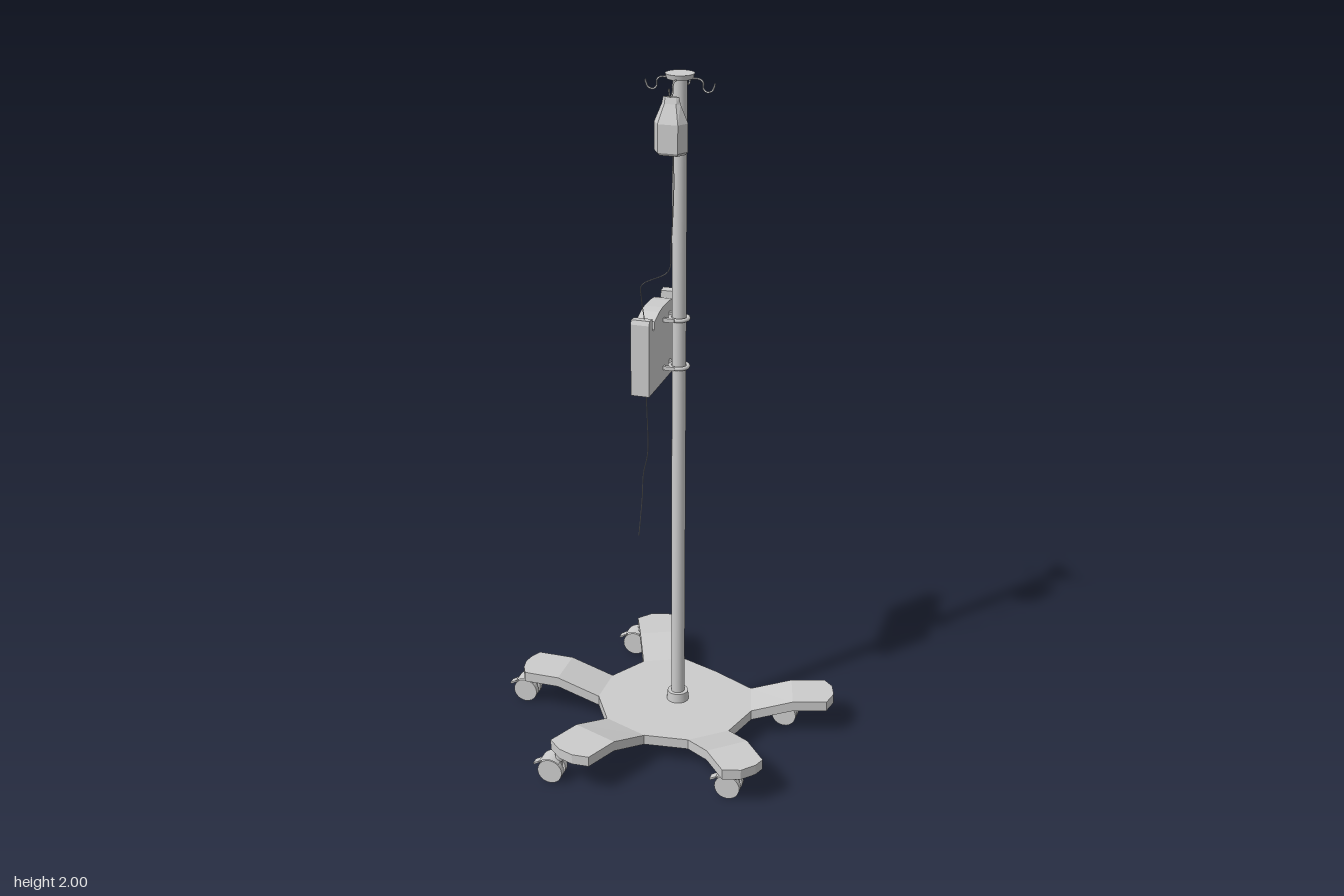
import * as THREE from 'three';

const grey = new THREE.MeshStandardMaterial({ color: 0xcccccc, side: THREE.DoubleSide });
const flat = new THREE.MeshStandardMaterial({ color: 0xcccccc, side: THREE.DoubleSide, flatShading: true });

function add(parent, name, geometry, x = 0, y = 0, z = 0, material = grey) {
  const mesh = new THREE.Mesh(geometry, material);
  mesh.name = name;
  mesh.position.set(x, y, z);
  parent.add(mesh);
  return mesh;
}

// Slab from plan points [x, z, topHeight], with its underside parallel to its top
function slab(points, thickness) {
  let p = points;
  const plan = (list) => list.map(([x, z]) => new THREE.Vector2(x, -z));
  if (THREE.ShapeUtils.isClockWise(plan(p))) p = [...p].reverse();
  const pos = [];
  const push = (i, drop) => pos.push(p[i][0], p[i][2] - drop, p[i][1]);
  for (const [a, b, c] of THREE.ShapeUtils.triangulateShape(plan(p), [])) {
    push(a, 0); push(b, 0); push(c, 0);
    push(c, thickness); push(b, thickness); push(a, thickness);
  }
  p.forEach((_, i) => {
    const j = (i + 1) % p.length;
    push(i, thickness); push(j, thickness); push(j, 0);
    push(i, thickness); push(j, 0); push(i, 0);
  });
  const g = new THREE.BufferGeometry();
  g.setAttribute('position', new THREE.Float32BufferAttribute(pos, 3));
  g.computeVertexNormals();
  return g;
}

function wire(points, radius, sides = 6) {
  const curve = new THREE.CatmullRomCurve3(points.map((p) => new THREE.Vector3(...p)), false, 'centripetal');
  return new THREE.TubeGeometry(curve, points.length * 6, radius, sides);
}

// Each leg: two root corners, tip outline between them, top height
const legs = [
  { root: [[-0.19, -0.07], [-0.19, 0.06]], top: 0.128, tip: [[-0.43, -0.07], [-0.445, -0.04], [-0.452, -0.005], [-0.445, 0.03], [-0.43, 0.06]] },
  { root: [[-0.125, 0.17], [0.01, 0.225]], top: 0.128, tip: [[-0.22, 0.39], [-0.18, 0.428], [-0.135, 0.445], [-0.085, 0.443]] },
  { root: [[0.14, 0.21], [0.24, 0.125]], top: 0.128, tip: [[0.295, 0.39], [0.345, 0.375], [0.378, 0.338], [0.39, 0.305]] },
  { root: [[0.275, 0], [0.24, -0.125]], top: 0.117, tip: [[0.49, -0.07], [0.5, -0.12], [0.485, -0.165], [0.455, -0.192]] },
  { root: [[-0.005, -0.235], [-0.125, -0.18]], top: 0.117, tip: [[-0.095, -0.445], [-0.13, -0.447], [-0.18, -0.43], [-0.213, -0.39]] },
];
const HUB_TOP = 0.087, THICK = 0.031;

function makeBase() {
  const base = new THREE.Group();
  base.name = 'base';
  const outline = legs.flatMap((l) => l.root);
  outline.splice(8, 0, [0.11, -0.19]);
  add(base, 'hub', slab(outline.map(([x, z]) => [x, z, HUB_TOP]), THICK), 0, 0, 0, flat);
  for (const { root, tip, top } of legs) {
    const ends = [tip[0], tip[tip.length - 1]];
    const fold = root.map((r, i) => [0, 1].map((k) => r[k] + (ends[i][k] - r[k]) * 0.55));
    const at = (y) => ([x, z]) => [x, z, y];
    add(base, 'legSlope', slab([...root.map(at(HUB_TOP)), ...[fold[1], fold[0]].map(at(top))], THICK), 0, 0, 0, flat);
    add(base, 'legEnd', slab([fold[0], ...tip, fold[1]].map(at(top)), THICK), 0, 0, 0, flat);
  }
  // Underside ring with radial ribs
  const ring = new THREE.Shape(), hole = new THREE.Path();
  for (let i = 0; i < 8; i++) {
    const a = (i + 0.5) * Math.PI / 4, c = Math.cos(a), s = Math.sin(a);
    const op = i ? 'lineTo' : 'moveTo';
    ring[op](0.18 * c, 0.18 * s);
    hole[op](0.15 * c, 0.15 * s);
  }
  ring.closePath(); hole.closePath();
  ring.holes.push(hole);
  const ringGeo = new THREE.ExtrudeGeometry(ring, { depth: 0.022, bevelEnabled: false }).rotateX(-Math.PI / 2);
  add(base, 'undersideRing', ringGeo, 0.035, 0.035, 0);
  for (let i = 0; i < 6; i++) {
    const rib = add(base, 'undersideRib', new THREE.BoxGeometry(0.15, 0.016, 0.012).translate(0.08, 0, 0), 0.035, 0.049, 0);
    rib.rotation.y = i * Math.PI / 3 + 0.3;
  }
  return base;
}

function makeCaster(x, z, legBottom) {
  const caster = new THREE.Group();
  caster.name = 'caster';
  caster.position.set(x, 0.038, z);
  for (const s of [-1, 1]) {
    add(caster, 'wheel', new THREE.CylinderGeometry(0.037, 0.037, 0.018, 24).rotateX(Math.PI / 2), 0, 0, s * 0.016);
  }
  add(caster, 'axle', new THREE.CylinderGeometry(0.008, 0.008, 0.04, 10).rotateX(Math.PI / 2));
  add(caster, 'hood', new THREE.CylinderGeometry(0.042, 0.042, 0.056, 16, 1, true, Math.PI - 0.75, 1.85).rotateX(Math.PI / 2));
  add(caster, 'fork', new THREE.BoxGeometry(0.034, 0.036, 0.012), 0.012, 0.022, 0);
  const lever = add(caster, 'brakeLever', new THREE.BoxGeometry(0.024, 0.005, 0.024), -0.044, 0.014, 0);
  lever.rotation.z = 0.5;
  const h = legBottom - 0.038 - 0.03;
  add(caster, 'stem', new THREE.CylinderGeometry(0.012, 0.012, h, 12), 0.022, 0.03 + h / 2, 0);
  return caster;
}

function makePole() {
  const pole = new THREE.Group();
  pole.name = 'pole';
  pole.position.set(0.042, 0, -0.006);
  add(pole, 'tube', new THREE.CylinderGeometry(0.02, 0.02, 1.9, 24), 0, 1.035, 0);
  add(pole, 'baseCollar', new THREE.CylinderGeometry(0.031, 0.033, 0.03, 24), 0, 0.101, 0);
  add(pole, 'topCap', new THREE.CylinderGeometry(0.04, 0.036, 0.014, 24), 0, 1.993, 0);
  for (let i = 0; i < 4; i++) {
    const hook = add(pole, 'hook', wire([[0.02, 1.986, 0], [0.055, 1.986, 0], [0.064, 1.978, 0], [0.065, 1.962, 0],
      [0.074, 1.953, 0], [0.088, 1.956, 0], [0.094, 1.966, 0], [0.097, 1.977, 0]], 0.0025));
    hook.rotation.y = i * Math.PI / 2;
  }
  return pole;
}

// Bag with a six-sided section, lofted through [y, half width, half flat, half depth]
function makeBag() {
  const rows = [[1.8, 0.04, 0.024, 0.025], [1.808, 0.047, 0.028, 0.031], [1.885, 0.047, 0.028, 0.031],
    [1.935, 0.026, 0.016, 0.009], [1.953, 0.022, 0.015, 0.004]];
  const pos = [], idx = [];
  rows.forEach(([y, w, f, d]) => {
    for (const [x, z] of [[w, 0], [f, -d], [-f, -d], [-w, 0], [-f, d], [f, d]]) pos.push(x, y, z);
  });
  for (let r = 0; r < rows.length - 1; r++) {
    for (let i = 0; i < 6; i++) {
      const a = r * 6 + i, b = r * 6 + (i + 1) % 6;
      idx.push(a, b, b + 6, a, b + 6, a + 6);
    }
  }
  const t = (rows.length - 1) * 6;
  for (let i = 1; i < 5; i++) idx.push(0, i + 1, i, t, t + i, t + i + 1);
  const g = new THREE.BufferGeometry();
  g.setAttribute('position', new THREE.Float32BufferAttribute(pos, 3));
  g.setIndex(idx);
  g.computeVertexNormals();
  return g;
}

function makePump() {
  const pump = new THREE.Group();
  pump.name = 'pump';
  // Side profile in (z, y), with two tube slots in the top edge
  const half = [[0.152, 1.13], [0.152, 1.338], [0.146, 1.35], [0.12, 1.348], [0.118, 1.312], [0.103, 1.312],
    [0.101, 1.334], [0.06, 1.348], [0.03, 1.352]];
  const profile = [...half, ...half.map(([z, y]) => [-z, y]).reverse()];
  const shape = new THREE.Shape(profile.map(([z, y]) => new THREE.Vector2(-z, y)));
  add(pump, 'case', new THREE.ExtrudeGeometry(shape, { depth: 0.053, bevelEnabled: false }).rotateY(Math.PI / 2), -0.048, 0, 0);
  // Control face
  add(pump, 'screen', new THREE.BoxGeometry(0.004, 0.105, 0.11), -0.049, 1.265, -0.012);
  for (let r = 0; r < 2; r++) for (let c = 0; c < 3; c++) {
    add(pump, 'button', new THREE.BoxGeometry(0.01, 0.013, 0.018), -0.05, 1.19 - r * 0.026, -0.045 + c * 0.034);
  }
  for (const z of [-0.125, 0.125]) {
    add(pump, 'sideButton', new THREE.BoxGeometry(0.01, 0.025, 0.01), -0.05, 1.215, z);
  }
  // Clamps around the pole
  for (const y of [1.313, 1.17]) {
    add(pump, 'clampRing', new THREE.TorusGeometry(0.026, 0.006, 8, 24).rotateX(Math.PI / 2), 0.042, y, -0.006);
    for (const s of [-1, 1]) {
      add(pump, 'clampArm', new THREE.BoxGeometry(0.035, 0.011, 0.01), 0.02, y, -0.006 + s * 0.027);
    }
  }
  return pump;
}

export function createModel() {
  const model = new THREE.Group();
  model.name = 'infusionStand';
  model.add(makeBase(), makePole(), makePump());
  const casters = [[-0.447, -0.005, 0], [-0.215, 0.393, 1], [0.295, 0.315, 2], [0.355, -0.11, 3], [-0.215, -0.383, 4]];
  for (const [x, z, i] of casters) model.add(makeCaster(x, z, legs[i].top - THICK + 0.004));
  add(model, 'fluidBag', makeBag(), 0.042, 0, 0.072, flat);
  // Thin lines from bag to pump, and from pump down
  add(model, 'upperLine', wire([[0.05, 1.8, 0.077], [0.056, 1.71, 0.092], [0.057, 1.555, 0.12], [0.055, 1.495, 0.135],
    [-0.01, 1.46, 0.167], [-0.015, 1.42, 0.155], [-0.016, 1.355, 0.13], [-0.016, 1.31, 0.11]], 0.0014, 5));
  add(model, 'lowerLine', wire([[-0.016, 1.14, 0.118], [-0.016, 1.05, 0.106], [-0.016, 0.94, 0.103], [-0.03, 0.87, 0.1],
    [-0.03, 0.8, 0.112], [-0.029, 0.75, 0.13], [-0.028, 0.7, 0.15]], 0.0014, 5));
  return model;
}
